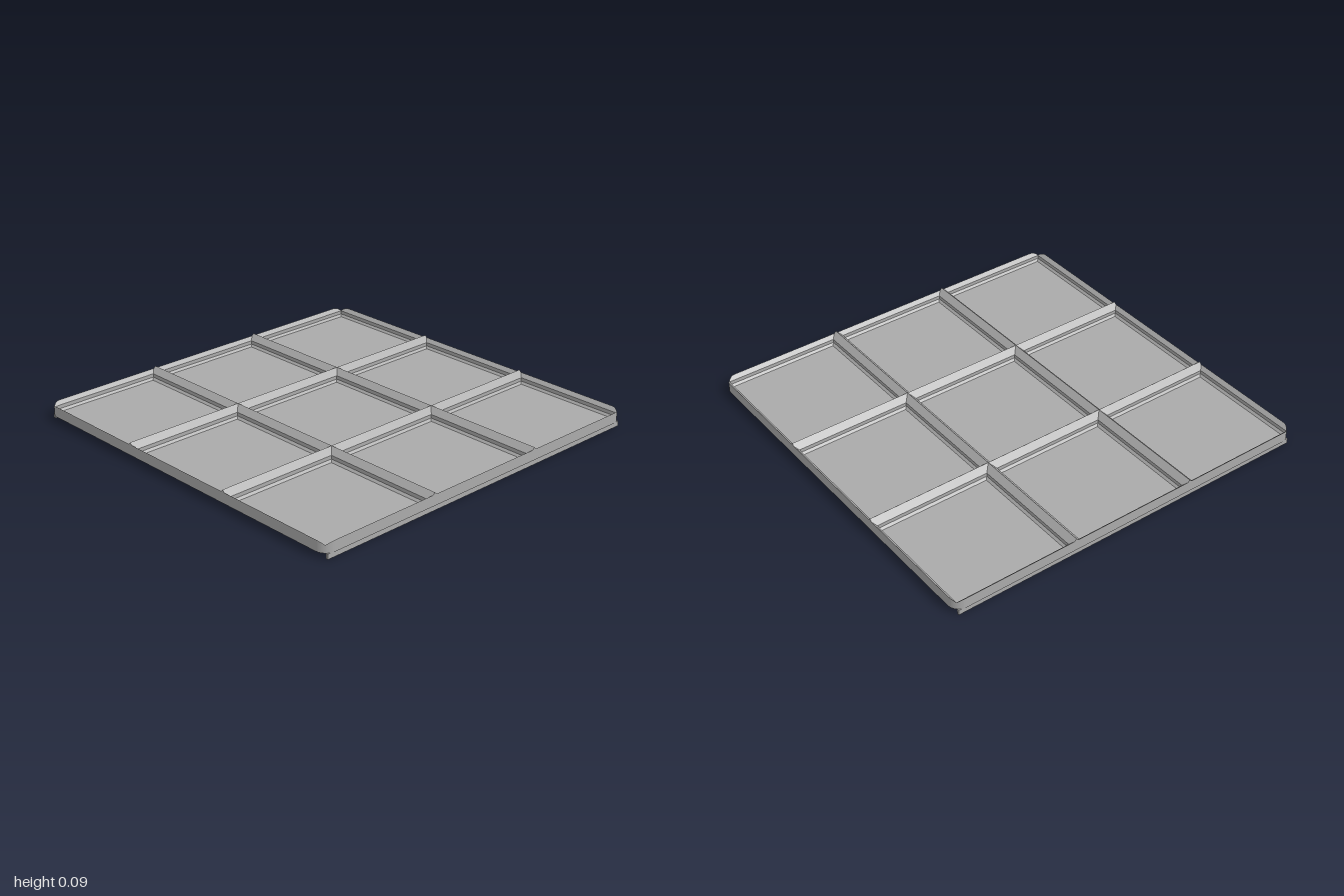
import * as THREE from 'three';

const PITCH = 0.674, HALF = PITCH / 2;   // cell spacing
const EDGE = 1, RADIUS = 0.06;           // outer outline
const TOP = 0.093, BASE = 0.026;         // ridge height, underside height

// pocket steps below the sloped lip: [half width, height]
const STEPS = [[0.307, 0.063], [0.307, 0.044], [0.296, 0.033]];

// signed distance to the rounded outer outline (negative is inside)
function outline(x, z) {
  const qx = Math.abs(x) - EDGE + RADIUS, qz = Math.abs(z) - EDGE + RADIUS;
  return Math.hypot(Math.max(qx, 0), Math.max(qz, 0)) + Math.min(Math.max(qx, qz), 0) - RADIUS;
}

// positions along half a pocket side, denser near the corner
const clip = (EDGE - PITCH) / HALF;
const halfSide = [0.4, 0.78, 0.82, 0.86, 0.89, 0.92, 0.945, clip, 0.985];
const SIDE = [-1, ...halfSide.map(t => -t).reverse(), 0, ...halfSide];

function squareLoop(cx, cz, r, y) {
  const pts = [];
  for (let k = 0; k < 4; k++) {
    for (const t of SIDE) {
      let x = r, z = -t * r;
      for (let i = 0; i < k; i++) [x, z] = [z, -x];
      pts.push(new THREE.Vector3(cx + x, y, cz + z));
    }
  }
  return pts;
}

// one pocket: sloped lip trimmed by the outline, stepped walls, floor, outer wall
function pocketGeometry(cx, cz) {
  const pos = [];
  const tri = (...ps) => ps.forEach(p => pos.push(p.x, p.y, p.z));
  const quad = (a, b, c, d) => { tri(a, b, c); tri(a, c, d); };
  const loops = STEPS.map(([r, y]) => squareLoop(cx, cz, r, y));
  const lip = squareLoop(cx, cz, HALF, TOP).map((p, i) => {
    if (outline(p.x, p.z) <= 1e-6) return p;
    let lo = 0, hi = 1;
    for (let n = 0; n < 30; n++) {
      const m = (lo + hi) / 2, q = loops[0][i].clone().lerp(p, m);
      if (outline(q.x, q.z) > 0) hi = m; else lo = m;
    }
    return loops[0][i].clone().lerp(p, lo);
  });
  loops.unshift(lip);
  const n = lip.length, centre = new THREE.Vector3(cx, STEPS[2][1], cz);
  const onEdge = p => Math.abs(outline(p.x, p.z)) < 1e-4;
  const down = p => new THREE.Vector3(p.x, BASE, p.z);
  for (let i = 0; i < n; i++) {
    const j = (i + 1) % n;
    for (let k = 0; k < 3; k++) quad(loops[k + 1][i], loops[k][i], loops[k][j], loops[k + 1][j]);
    tri(centre, loops[3][i], loops[3][j]);
    if (onEdge(lip[i]) && onEdge(lip[j])) quad(down(lip[i]), down(lip[j]), lip[j], lip[i]);
  }
  const g = new THREE.BufferGeometry();
  g.setAttribute('position', new THREE.Float32BufferAttribute(pos, 3));
  g.computeVertexNormals();
  return g;
}

// rectangle path, centred on x, y
function rect(path, x, y, w, h) {
  path.moveTo(x - w / 2, y - h / 2);
  path.lineTo(x + w / 2, y - h / 2);
  path.lineTo(x + w / 2, y + h / 2);
  path.lineTo(x - w / 2, y + h / 2);
  path.closePath();
  return path;
}

// foot pad with two narrow slots near two sides
function padGeometry(side) {
  const s = rect(new THREE.Shape(), 0, 0, 0.54, 0.54);
  s.holes.push(rect(new THREE.Path(), side * 0.22, 0, 0.03, 0.3));
  s.holes.push(rect(new THREE.Path(), 0, side * 0.22, 0.17, 0.03));
  const g = new THREE.ExtrudeGeometry(s, { depth: BASE, bevelEnabled: false });
  return g.rotateX(Math.PI / 2).translate(0, BASE, 0);
}

export function createModel() {
  const model = new THREE.Group();
  model.name = 'gridTray';
  const grey = new THREE.MeshStandardMaterial({ color: 0xaaaaaa });
  grey.name = 'grey';
  const add = (geometry, name, x = 0, y = 0, z = 0) => {
    const m = new THREE.Mesh(geometry, grey);
    m.name = name;
    m.position.set(x, y, z);
    model.add(m);
  };

  // three by three pockets with foot pads below
  for (let i = -1; i <= 1; i++) {
    for (let j = -1; j <= 1; j++) {
      add(pocketGeometry(i * PITCH, j * PITCH), 'pocket');
      add(padGeometry(j === 1 ? -1 : 1), 'footPad', i * PITCH, 0, j * PITCH);
    }
  }

  // flat underside with rounded corners
  const c = EDGE - RADIUS, s = new THREE.Shape();
  s.absarc(c, c, RADIUS, 0, Math.PI / 2);
  s.absarc(-c, c, RADIUS, Math.PI / 2, Math.PI);
  s.absarc(-c, -c, RADIUS, Math.PI, Math.PI * 1.5);
  s.absarc(c, -c, RADIUS, Math.PI * 1.5, Math.PI * 2);
  add(new THREE.ShapeGeometry(s, 8).rotateX(Math.PI / 2), 'underside', 0, BASE, 0);

  // thin lips under the front and back edges
  for (const z of [-0.99, 0.99]) {
    add(new THREE.BoxGeometry(1.96, BASE, 0.012), 'edgeLip', 0, BASE / 2, z);
  }
  return model;
}
